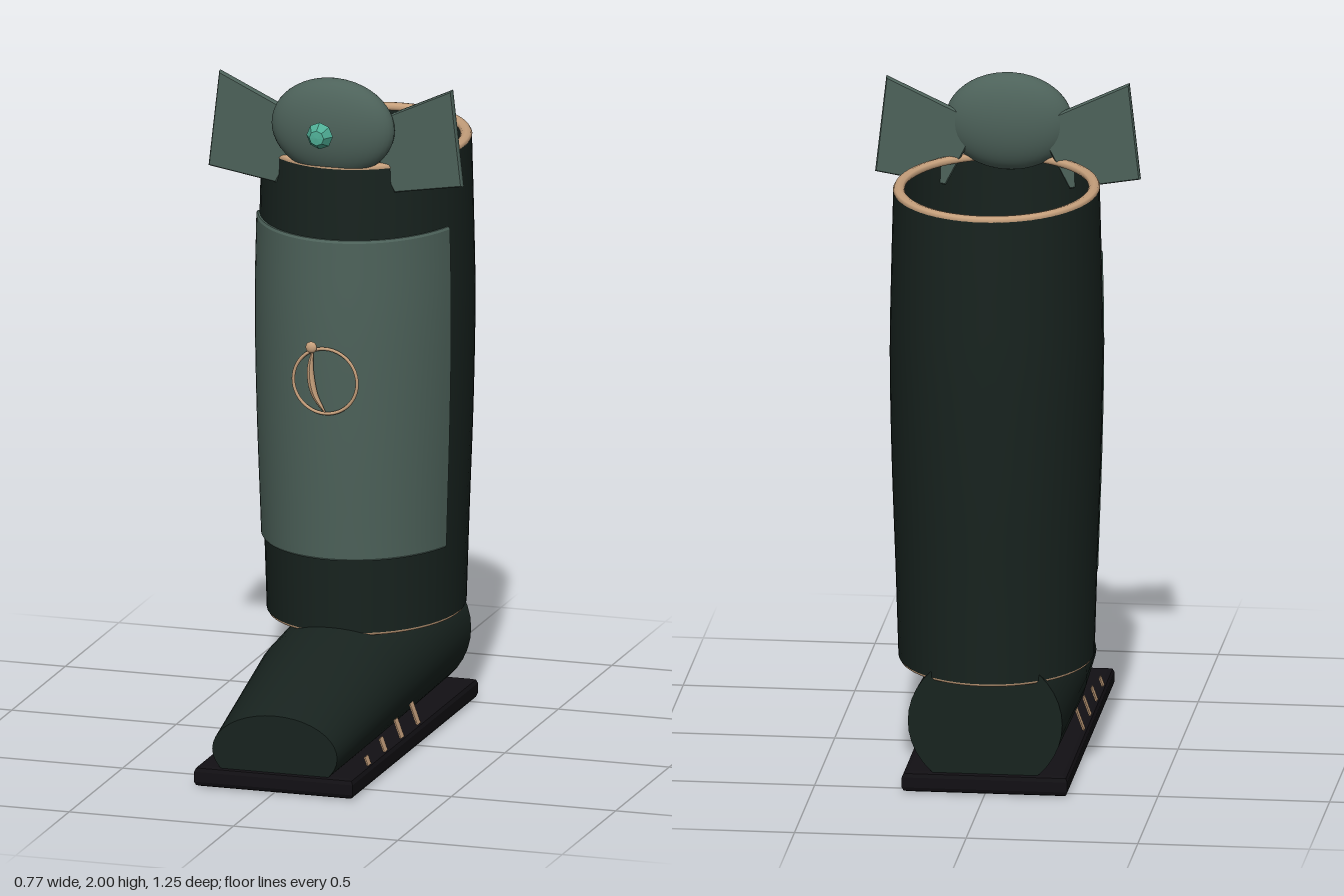
import * as THREE from 'three';
import { toCreasedNormals } from 'three/addons/utils/BufferGeometryUtils.js';

const mat = (color) => new THREE.MeshStandardMaterial({ color, side: THREE.DoubleSide });
const STRETCH = 1.21; // depth to width ratio of the oval leg
const LEG_Z = -0.245;

export function createModel() {
  const group = new THREE.Group();
  const leather = mat(0x18231f), sage = mat(0x4d625a), gold = mat(0xc6a07c);
  const black = mat(0x121014), teal = mat(0x4fae96);

  const add = (name, geometry, material, x = 0, y = 0, z = 0) => {
    const mesh = new THREE.Mesh(geometry, material);
    mesh.name = name;
    mesh.position.set(x, y, z);
    group.add(mesh);
    return mesh;
  };

  // Oval shaft, widest at the calf
  const legCurve = new THREE.SplineCurve([
    [0.283, 0.345], [0.291, 0.6], [0.303, 0.95], [0.308, 1.25], [0.304, 1.5], [0.298, 1.74],
  ].map((p) => new THREE.Vector2(...p)));
  const legPoints = legCurve.getPoints(30);
  add('shaft', new THREE.LatheGeometry(legPoints, 48), leather, 0, 0, LEG_Z).scale.z = STRETCH;

  // Curved shin panel following the shaft
  const inPanel = legPoints.filter((p) => p.y > 0.58 && p.y < 1.515);
  const radiusAt = (y) => {
    const i = Math.max(1, legPoints.findIndex((p) => p.y >= y));
    const a = legPoints[i - 1], b = legPoints[i];
    return THREE.MathUtils.lerp(a.x, b.x, (y - a.y) / (b.y - a.y));
  };
  const panelProfile = [
    new THREE.Vector2(radiusAt(0.565) - 0.004, 0.565),
    new THREE.Vector2(radiusAt(0.565) + 0.005, 0.565),
    new THREE.Vector2(radiusAt(0.572) + 0.009, 0.572),
    ...inPanel.map((p) => new THREE.Vector2(p.x + 0.009, p.y)),
    new THREE.Vector2(radiusAt(1.523) + 0.009, 1.523),
    new THREE.Vector2(radiusAt(1.53) + 0.005, 1.53),
    new THREE.Vector2(radiusAt(1.53) - 0.004, 1.53),
  ];
  const panelAngle = 1.23;
  const panel = toCreasedNormals(
    new THREE.LatheGeometry(panelProfile, 32, -panelAngle, panelAngle * 2), 0.5);
  add('shinPanel', panel, sage, 0, 0, LEG_Z).scale.z = STRETCH;
  // Side edges of the panel
  for (const s of [-1, 1]) {
    const edge = new THREE.PlaneGeometry(0.02, 0.955, 1, 16);
    const p = edge.attributes.position;
    for (let i = 0; i < p.count; i++) {
      const y = p.getY(i) + 1.0475;
      const r = radiusAt(y) + (p.getX(i) > 0 ? 0.009 : -0.006);
      p.setXYZ(i, s * r * Math.sin(panelAngle), y, r * Math.cos(panelAngle));
    }
    edge.computeVertexNormals();
    add('panelEdge', edge, sage, 0, 0, LEG_Z).scale.z = STRETCH;
  }

  // Gold piping at both ends of the shaft
  const piping = (name, radius, tube, y, squash) => {
    const ring = new THREE.TorusGeometry(radius, tube, 8, 64).rotateX(Math.PI / 2);
    add(name, ring, gold, 0, y, LEG_Z).scale.set(1, squash, STRETCH);
  };
  piping('topPiping', 0.282, 0.017, 1.742, 0.7);
  piping('anklePiping', 0.27, 0.012, 0.345, 0.9);

  // Foot: a round tube reshaped into toe, instep and heel sections
  const sections = [ // z, half width, half height (heel to toe)
    [-0.53, 0.225, 0.21], [0.1, 0.223, 0.178], [0.615, 0.19, 0.113],
  ];
  const foot = new THREE.CylinderGeometry(1, 1, 2, 40, 2).rotateX(Math.PI / 2);
  const fp = foot.attributes.position;
  for (let i = 0; i < fp.count; i++) {
    const [z, w, h] = sections[Math.round(fp.getZ(i)) + 1];
    fp.setXYZ(i, fp.getX(i) * w, 0.003 + h + fp.getY(i) * h, z);
  }
  add('foot', toCreasedNormals(foot, 0.6), leather);

  // Bevelled sole
  const soleShape = new THREE.Shape([[-0.225, -0.57], [0.225, -0.57], [0.225, 0.57], [-0.225, 0.57]]
    .map((p) => new THREE.Vector2(...p)));
  const sole = new THREE.ExtrudeGeometry(soleShape, {
    depth: 0.03, bevelEnabled: true, bevelThickness: 0.015, bevelSize: 0.016, bevelSegments: 2,
  }).rotateX(-Math.PI / 2);
  add('sole', sole, black, 0, 0.015, 0.042);

  // Gold tabs leaning against the foot, taller towards the heel
  [[0.44, 0.03], [0.285, 0.045], [0.13, 0.06], [-0.025, 0.085]].forEach(([z, h]) => {
    for (const s of [-1, 1]) {
      const tab = add('sideTab', new THREE.BoxGeometry(0.004, h, 0.03), gold,
        s * (0.232 - h * 0.2), 0.053 + h / 2, z);
      tab.rotation.z = s * 0.35;
    }
  });

  // Bow: oval knot and two flared wings
  const knot = add('bowKnot', new THREE.SphereGeometry(1, 40, 24), sage, 0, 1.855, 0.068);
  knot.scale.set(0.186, 0.145, 0.071);
  for (const s of [-1, 1]) {
    const wing = new THREE.Shape([[0.085, 1.857], [0.182, 1.671], [0.382, 1.704], [0.351, 1.982]]
      .map(([x, y]) => new THREE.Vector2(s * x, y)));
    add('bowWing', new THREE.ExtrudeGeometry(wing, {
      depth: 0.012, bevelEnabled: true, bevelThickness: 0.006, bevelSize: 0.004, bevelSegments: 1,
    }), sage, 0, 0, 0.034);
  }

  // Faceted gem, table facing forward
  const gem = new THREE.LatheGeometry([[0, 0.165], [0.04, 0.195], [0.022, 0.225], [0, 0.227]]
    .map((p) => new THREE.Vector2(...p)), 8).rotateX(Math.PI / 2);
  add('gem', toCreasedNormals(gem, 0.05), teal, 0, 1.86, 0);

  // Ornament: thin ring with a tapered plume and bead
  add('ornamentRing', new THREE.TorusGeometry(0.097, 0.005, 8, 48), gold, 0, 1.11, 0.143);
  const stem = new THREE.CatmullRomCurve3([
    new THREE.Vector3(-0.036, 1.205, 0.15), new THREE.Vector3(-0.044, 1.14, 0.147),
    new THREE.Vector3(-0.032, 1.07, 0.146), new THREE.Vector3(0, 1.015, 0.143),
  ]);
  const plume = new THREE.TubeGeometry(stem, 24, 0.011, 10);
  const pp = plume.attributes.position, v = new THREE.Vector3();
  for (let i = 0; i < pp.count; i++) {
    const t = Math.floor(i / 11) / 24, c = stem.getPointAt(t);
    v.fromBufferAttribute(pp, i).sub(c).multiplyScalar(0.2 + 0.8 * Math.sin(Math.PI * t)).add(c);
    pp.setXYZ(i, v.x, v.y, v.z);
  }
  plume.computeVertexNormals();
  add('ornamentPlume', plume, gold);
  add('ornamentBead', new THREE.SphereGeometry(0.017, 16, 12), gold, -0.037, 1.213, 0.16).scale.z = 0.6;

  return group;
}
